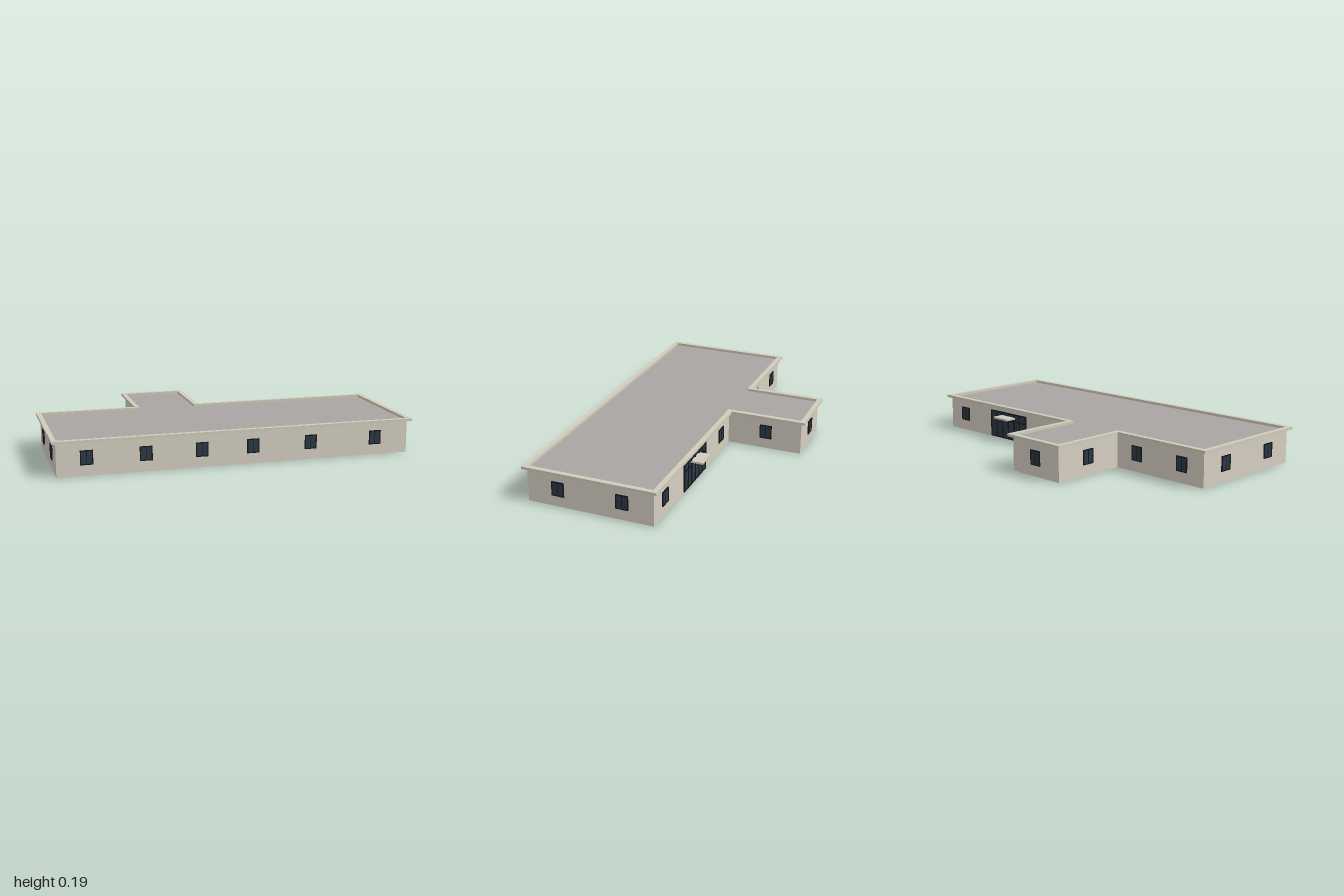
import * as THREE from 'three';

const mat = (name, color, extra = {}) =>
  Object.assign(new THREE.MeshStandardMaterial({ color, ...extra }), { name });

// T-shaped plan at the roof edge, shrunk inward by d (plan x, plan z negated for Shape)
function planPoints(d) {
  const L = 0.975 - d, W = 0.355 - d;
  const w0 = -0.417 + d, w1 = -0.047 - d, wz = -0.762 + d;
  return [[-L, W], [L, W], [L, -W], [w1, -W], [w1, wz], [w0, wz], [w0, -W], [-L, -W]]
    .map(([x, z]) => new THREE.Vector2(x, -z));
}

// Upright slab or ring following the plan
function planSolid(outer, inner, y, height) {
  const shape = new THREE.Shape(planPoints(outer));
  if (inner !== null) shape.holes.push(new THREE.Path(planPoints(inner)));
  const geo = new THREE.ExtrudeGeometry(shape, { depth: height, bevelEnabled: false });
  return geo.rotateX(-Math.PI / 2).translate(0, y, 0);
}

export function createModel() {
  const wall = mat('wall cream', 0xd6cfc1);
  const trim = mat('trim beige', 0xcfccba);
  const roofGrey = mat('roof grey', 0xa8a5a1);
  const glass = mat('window glass', 0x2c3a44);
  const frame = mat('dark frame', 0x15191c);

  const model = new THREE.Group();
  const building = new THREE.Group();
  building.name = 'building';
  building.rotation.y = THREE.MathUtils.degToRad(54.6);
  building.position.x = 0.003;
  model.add(building);

  const add = (parent, name, geo, material) => {
    const mesh = new THREE.Mesh(geo, material);
    mesh.name = name;
    parent.add(mesh);
    return mesh;
  };
  const box = (parent, name, material, w, h, d, x, y, z) =>
    add(parent, name, new THREE.BoxGeometry(w, h, d).translate(x, y, z), material);

  // Hollow shell, open underneath, with a flat roof and raised rim
  add(building, 'walls', planSolid(0.021, 0.025, 0, 0.176), wall);
  add(building, 'roof', planSolid(0.022, null, 0.173, 0.003), roofGrey);
  add(building, 'roofRim', planSolid(0, 0.026, 0.176, 0.014), trim);

  // Window facing local +z: frame, two panes
  function addWindow(x, z, turn) {
    const g = new THREE.Group();
    g.name = 'window';
    g.position.set(x, 0.095, z);
    g.rotation.y = turn;
    const w = 0.066, h = 0.076, t = 0.005;
    for (const s of [-1, 1]) {
      box(g, 'frameSide', frame, t, h, 0.007, s * (w - t) / 2, 0, 0.0025);
      box(g, 'frameRail', frame, w, t, 0.007, 0, s * (h - t) / 2, 0.0025);
    }
    box(g, 'pane', glass, w - t, h - t, 0.004, 0, 0, 0.001);
    box(g, 'mullion', frame, 0.003, h - t, 0.006, 0, 0, 0.002);
    building.add(g);
  }

  const endX = 0.954, sideZ = 0.334;
  for (const x of [-0.8, -0.495, -0.2, 0.076, 0.397, 0.766]) addWindow(x, sideZ, 0);
  for (const z of [-0.17, 0.17]) {
    addWindow(endX, z, Math.PI / 2);
    addWindow(-endX, z, -Math.PI / 2);
  }
  for (const x of [0.825, 0.06, -0.53, -0.82]) addWindow(x, -sideZ, Math.PI);
  addWindow(-0.232, -0.741, Math.PI);
  addWindow(-0.068, -0.545, Math.PI / 2);
  addWindow(-0.396, -0.545, -Math.PI / 2);

  // Glazed entrance with canopy
  const entrance = new THREE.Group();
  entrance.name = 'entrance';
  entrance.position.set(0.443, 0, -sideZ);
  entrance.rotation.y = Math.PI;
  const ew = 0.29, eh = 0.15;
  box(entrance, 'entranceGlass', glass, ew, eh, 0.004, 0, 0.005 + eh / 2, 0.001);
  for (const x of [-0.145, -0.095, -0.05, 0, 0.05, 0.095, 0.145])
    box(entrance, 'entrancePost', frame, 0.006, eh, 0.009, x, 0.005 + eh / 2, 0.003);
  for (const y of [0.008, 0.112, 0.152])
    box(entrance, 'entranceRail', frame, ew, 0.006, 0.009, 0, y, 0.003);
  box(entrance, 'canopy', trim, 0.112, 0.01, 0.066, 0, 0.131, 0.033);
  building.add(entrance);

  return model;
}
